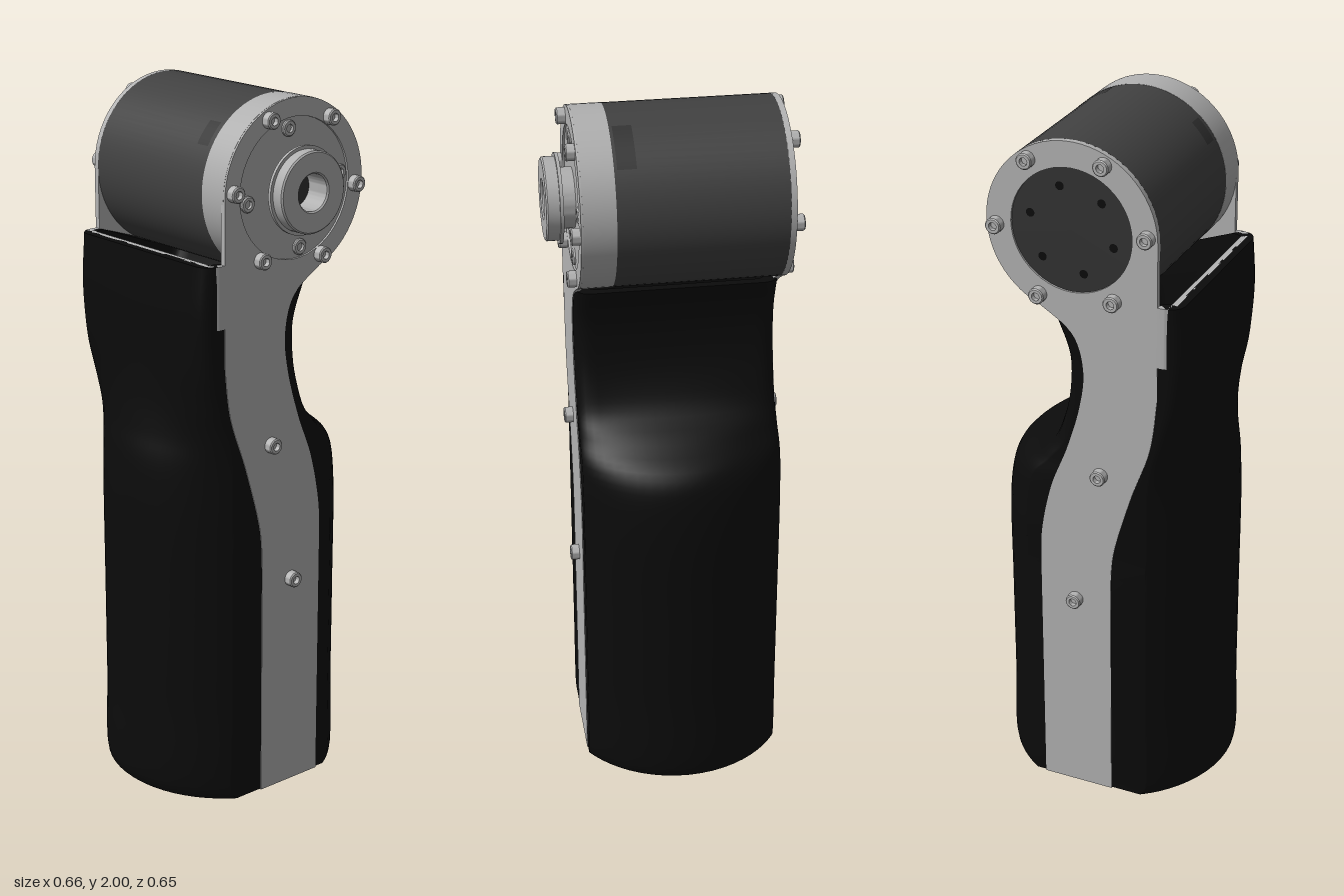
import * as THREE from 'three';
import { toCreasedNormals } from 'three/addons/utils/BufferGeometryUtils.js';

const AX = 0.03, AY = 1.76, R = 0.24;   // motor axis and radius
const ZC = -0.025, HZ = 0.275;          // middle of the depth, half depth
const mat = (color) => new THREE.MeshStandardMaterial({ color, side: THREE.DoubleSide });
const black = mat(0x0b0b0b), dark = mat(0x414141), darker = mat(0x333333);
const metal = mat(0xb4b4b4), cover = mat(0xb0b0b0);
const V2 = (x, y) => new THREE.Vector2(x, y);

export function createModel() {
  const root = new THREE.Group();
  const add = (name, geo, material, x = 0, y = 0, z = 0) => {
    const m = new THREE.Mesh(geo, material);
    m.name = name;
    m.position.set(x, y, z);
    root.add(m);
    return m;
  };
  const crease = (g) => toCreasedNormals(g, 0.6);
  const turned = (pts, n = 48) => crease(new THREE.LatheGeometry(pts.map((p) => V2(...p)), n));
  const drumZ = (r, z0, z1) => new THREE.CylinderGeometry(r, r, z1 - z0, 72)
    .rotateX(Math.PI / 2).translate(AX, AY, (z0 + z1) / 2);

  // Hollow shell: left and right edge lines as (x, y, roundness of that side)
  const edge = (rows) => new THREE.CatmullRomCurve3(rows.map((r) => new THREE.Vector3(...r)));
  const left = edge([[-0.312, 0.03, 1], [-0.325, 0.045, 1], [-0.326, 0.3, 1], [-0.326, 0.6, 1],
    [-0.326, 0.88, 1], [-0.32, 1.0, 0.95], [-0.3, 1.1, 0.7], [-0.285, 1.2, 0.35],
    [-0.28, 1.32, 0.08], [-0.28, 1.46, 0], [-0.272, 1.59, 0]]);
  const right = edge([[0.312, 0.03, 1], [0.325, 0.045, 1], [0.326, 0.3, 1], [0.326, 0.6, 1],
    [0.324, 0.88, 1], [0.3, 1.0, 0.9], [0.2, 1.085, 0.55], [0.1, 1.17, 0.15],
    [0.052, 1.3, 0], [0.052, 1.4, 0], [0.09, 1.505, 0]]);
  const STEPS = 24;
  const inset = (t, k) => {
    const z = Math.abs(t) * HZ, c = Math.max(0, z - 0.235);
    const round = 0.33 - Math.sqrt(0.33 ** 2 - z * z);
    const corner = 0.04 - Math.sqrt(Math.max(0, 0.04 ** 2 - c * c));
    return k * round + (1 - k) * corner;
  };
  const section = (u, wall) => {
    const pts = [];
    for (const [curve, s] of [[right, 1], [left, -1]]) {
      const e = curve.getPoint(u);
      for (let i = 0; i <= STEPS; i++) {
        const t = s * Math.sin((i / STEPS - 0.5) * Math.PI);
        pts.push([e.x - s * (inset(t, e.z) + wall), e.y, ZC + t * (HZ - wall)]);
      }
    }
    return pts;
  };
  const rows = [];
  for (let i = 0; i <= 60; i++) rows.push(section(i / 60, 0));
  for (let i = 60; i >= 0; i--) rows.push(section(i / 60, 0.025));
  const n = rows[0].length, index = [];
  for (let j = 0; j < rows.length - 1; j++) {
    for (let i = 0; i < n; i++) {
      const a = j * n + i, b = j * n + (i + 1) % n;
      index.push(a, a + n, b, b, a + n, b + n);
    }
  }
  const loft = new THREE.BufferGeometry();
  loft.setAttribute('position', new THREE.Float32BufferAttribute(rows.flat(2), 3));
  loft.setIndex(index);
  add('shell', crease(loft), black);

  // Shell floor with a round opening
  const floor = new THREE.Shape(rows[0].map((p) => V2(p[0], -p[2])));
  floor.holes.push(new THREE.Path().absarc(AX, -ZC, 0.18, 0, Math.PI * 2));
  add('shellFloor', new THREE.ShapeGeometry(floor, 36).rotateX(-Math.PI / 2), black, 0, 0.03, 0);

  // Side brackets: curved strip ending in a ring around the motor
  const bracket = (hole) => {
    const s = new THREE.Shape();
    s.moveTo(-0.075, 0.027);
    s.lineTo(0.135, 0.027);
    s.lineTo(0.135, 0.75);
    s.splineThru([[0.13, 0.86], [0.1, 1.0], [0.05, 1.13], [0.012, 1.26], [0, 1.37], [0.03, 1.47],
      [0.121, 1.538]].map((p) => V2(...p)));
    s.absarc(AX, AY, R, -1.182, Math.PI, false);
    s.lineTo(-0.21, 1.32);
    s.splineThru([[-0.19, 1.17], [-0.135, 1.01], [-0.085, 0.83], [-0.075, 0.7]].map((p) => V2(...p)));
    s.lineTo(-0.075, 0.027);
    s.holes.push(new THREE.Path().absarc(AX, AY, hole, 0, Math.PI * 2, true));
    return crease(new THREE.ExtrudeGeometry(s, { depth: 0.016, bevelEnabled: false, curveSegments: 24 }));
  };
  add('frontBracket', bracket(0.19), metal, 0, 0, 0.236);
  add('backBracket', bracket(0.17), metal, 0, 0, -0.302);

  // U-shaped strip joining the brackets behind the motor
  const u = new THREE.Shape();
  const zo = HZ + 0.002, zi = HZ - 0.014;
  u.moveTo(-0.2, -zo);
  u.lineTo(-0.222, -zo);
  u.quadraticCurveTo(-0.252, -zo, -0.252, -zo + 0.03);
  u.lineTo(-0.252, zo - 0.03);
  u.quadraticCurveTo(-0.252, zo, -0.222, zo);
  u.lineTo(-0.2, zo);
  u.lineTo(-0.2, zi);
  u.lineTo(-0.222, zi);
  u.quadraticCurveTo(-0.236, zi, -0.236, zi - 0.014);
  u.lineTo(-0.236, -zi + 0.014);
  u.quadraticCurveTo(-0.236, -zi, -0.222, -zi);
  u.lineTo(-0.2, -zi);
  add('bracketBridge', crease(new THREE.ExtrudeGeometry(u, { depth: 0.17, bevelEnabled: false })
    .rotateX(-Math.PI / 2)), metal, 0, 1.42, ZC);

  // Mounting ring and tabs underneath
  add('baseRing', turned([[0.18, 0.04], [0.18, 0.025], [0.243, 0.025], [0.243, 0.04]], 64), metal, AX, 0, ZC);
  for (const s of [1, -1]) {
    add('baseTab', new THREE.BoxGeometry(0.21, 0.014, 0.07), metal, AX, 0.034, ZC + s * 0.242);
  }

  // Motor body, front cover and back plate
  add('motorBody', drumZ(R, -0.287, 0.16), dark);
  add('motorFrontCover', drumZ(R + 0.0005, 0.16, 0.246), cover);
  add('motorBackPlate', drumZ(0.17, -0.296, -0.28), darker);
  for (let i = 0; i < 6; i++) {
    const a = i * Math.PI / 3 + 0.25;
    add('backPlateHole', new THREE.CircleGeometry(0.012, 16).rotateY(Math.PI), black,
      AX + 0.12 * Math.cos(a), AY + 0.12 * Math.sin(a), -0.2965);
  }

  // Curved cover patches on the motor body
  for (const [deg, width, depth, zc] of [[36, 0.13, 0.05, 0.127], [-51, 0.072, 0.043, 0.124]]) {
    const arc = width / R, mid = deg * Math.PI / 180;
    const g = new THREE.CylinderGeometry(R + 0.001, R + 0.001, depth, 12, 1, true, Math.PI - mid - arc / 2, arc);
    add('motorPatch', g.rotateX(Math.PI / 2), darker, AX, AY, zc);
  }

  // Output hub with a bore
  add('outputHub', turned([[0.05, 0.25], [0.05, 0.321], [0.054, 0.325], [0.106, 0.325], [0.11, 0.321],
    [0.11, 0.29], [0.119, 0.29], [0.119, 0.281], [0.08, 0.281], [0.08, 0.24]], 64)
    .rotateX(Math.PI / 2), cover, AX, AY, 0);
  add('hubBore', new THREE.CircleGeometry(0.051, 40), darker, AX, AY, 0.251);

  // Socket screws
  const head = turned([[0, 0.012], [0.011, 0.012], [0.011, 0.026], [0.019, 0.026], [0.022, 0.023], [0.022, -0.01]], 24);
  const screw = (x, y, z, turn) => { add('screw', head, metal, x, y, z).rotation.x = turn; };
  const F = Math.PI / 2, B = -Math.PI / 2;
  for (let i = 0; i < 6; i++) {
    const a = (i * 60 - 4) * Math.PI / 180, b = i * Math.PI / 3;
    const x = AX + 0.212 * Math.cos(a), y = AY + 0.212 * Math.sin(a);
    screw(x, y, 0.25, F);
    screw(x, y, -0.3, B);
    screw(AX + 0.21 * Math.cos(b), 0.026, ZC + 0.21 * Math.sin(b), Math.PI);
  }
  for (let i = 0; i < 4; i++) {
    const a = i * Math.PI / 2 + 0.13;
    screw(AX + 0.162 * Math.cos(a), AY + 0.162 * Math.sin(a), 0.228, F);
  }
  for (const [x, y] of [[-0.047, 1.065], [0.03, 0.655]]) {
    screw(x, y, 0.25, F);
    screw(x, y, -0.3, B);
  }
  return root;
}
